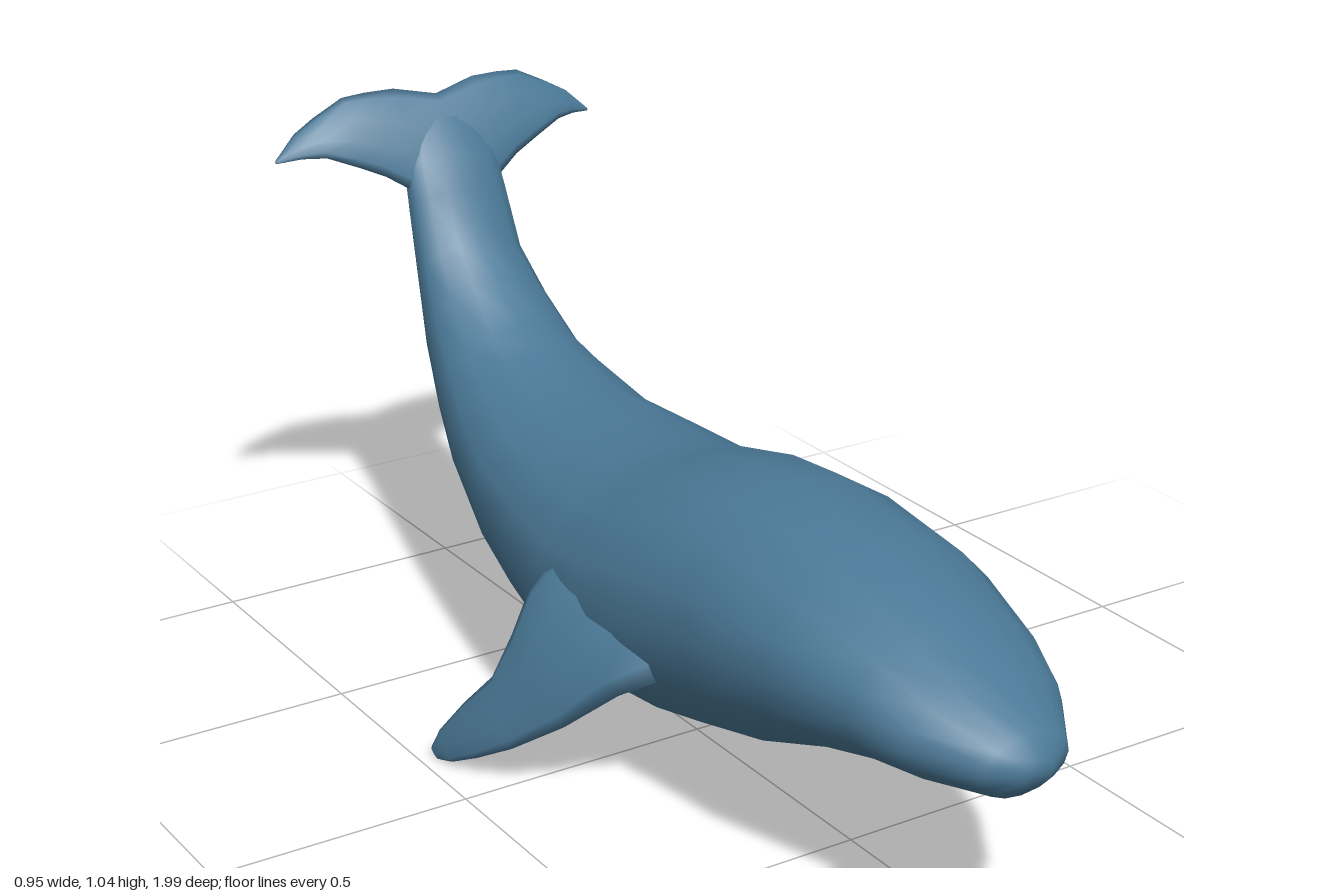
import * as THREE from 'three';

const SIDES = 16;
const V = (x, y, z) => new THREE.Vector3(x, y, z);

// Skins closed rings of points, caps both ends, and turns the faces outward.
function loft(rings) {
  const n = rings[0].length, last = rings.length - 1;
  const pts = rings.flat(), index = [];
  const start = pts.length, end = start + 1;
  for (const ring of [rings[0], rings[last]]) {
    pts.push(ring.reduce((s, p) => s.add(p), V(0, 0, 0)).divideScalar(n));
  }
  for (let j = 0; j < n; j++) {
    const k = (j + 1) % n;
    for (let i = 0; i < last; i++) {
      const a = i * n + j, b = i * n + k, c = a + n, d = b + n;
      index.push(a, b, c, b, d, c);
    }
    index.push(start, k, j, end, last * n + j, last * n + k);
  }
  // negative enclosed volume means the winding is inside out
  const centre = pts[start];
  let volume = 0;
  for (let i = 0; i < index.length; i += 3) {
    const [p, q, r] = [0, 1, 2].map((o) => pts[index[i + o]].clone().sub(centre));
    volume += p.dot(q.cross(r));
  }
  if (volume < 0) index.reverse();
  const geo = new THREE.BufferGeometry().setFromPoints(pts);
  geo.setIndex(index);
  geo.computeVertexNormals();
  return geo;
}

// Oval ring between a top and a bottom point on the centre plane.
function bodyRing([tz, ty, bz, by, halfWidth]) {
  const mid = V(0, (ty + by) / 2, (tz + bz) / 2);
  const up = V(0, (ty - by) / 2, (tz - bz) / 2);
  return Array.from({ length: SIDES }, (_, j) => {
    const a = (j / SIDES) * Math.PI * 2;
    return mid.clone().addScaledVector(up, Math.cos(a)).add(V(halfWidth * Math.sin(a), 0, 0));
  });
}

// Lens-shaped ring between a leading and a trailing edge point.
function finRing(lead, trail, thickness, span) {
  const mid = lead.clone().add(trail).multiplyScalar(0.5);
  const chord = lead.clone().sub(trail).multiplyScalar(0.5);
  const normal = span.clone().cross(chord).normalize();
  return Array.from({ length: 10 }, (_, j) => {
    const a = (j / 10) * Math.PI * 2;
    return mid.clone().addScaledVector(chord, Math.cos(a))
      .addScaledVector(normal, thickness / 2 * Math.sin(a));
  });
}

export function createModel() {
  const model = new THREE.Group();
  model.name = 'whale';
  const skin = new THREE.MeshStandardMaterial({ color: 0x4a7896 });
  skin.name = 'blue grey skin';
  const add = (name, geo) => {
    const mesh = new THREE.Mesh(geo, skin);
    mesh.name = name;
    model.add(mesh);
  };

  // body, snout to tail: top z, top y, bottom z, bottom y, half width
  const stations = [
    [0.995, 0.385, 0.995, 0.335, 0.035],
    [0.97, 0.42, 0.96, 0.305, 0.09],
    [0.86, 0.475, 0.85, 0.293, 0.165],
    [0.75, 0.528, 0.75, 0.283, 0.202],
    [0.56, 0.592, 0.58, 0.235, 0.25],
    [0.33, 0.63, 0.37, 0.152, 0.262],
    [0.15, 0.612, 0.18, 0.108, 0.285],
    [0.02, 0.578, 0.02, 0.1, 0.295],
    [-0.1, 0.548, -0.12, 0.103, 0.292],
    [-0.26, 0.549, -0.28, 0.14, 0.265],
    [-0.435, 0.552, -0.445, 0.18, 0.228],
    [-0.56, 0.59, -0.65, 0.285, 0.188],
    [-0.64, 0.617, -0.75, 0.385, 0.163],
    [-0.73, 0.69, -0.837, 0.5, 0.138],
    [-0.805, 0.757, -0.89, 0.625, 0.118],
    [-0.85, 0.85, -0.935, 0.8, 0.11],
    [-0.885, 0.915, -0.95, 0.88, 0.105],
    [-0.93, 0.98, -0.965, 0.955, 0.08],
  ];
  add('body', loft(stations.map(bodyRing)));

  // tail fluke, half span: x, leading y z, trailing y z, thickness
  const half = [
    [0, 0.84, -0.89, 1.02, -0.97, 0.045],
    [0.09, 0.845, -0.893, 1.04, -0.983, 0.045],
    [0.15, 0.885, -0.91, 1.039, -0.99, 0.04],
    [0.2, 0.908, -0.92, 1.035, -0.993, 0.036],
    [0.265, 0.935, -0.935, 1.003, -0.993, 0.028],
    [0.31, 0.936, -0.953, 0.978, -0.988, 0.02],
    [0.357, 0.929, -0.973, 0.934, -0.978, 0.006],
  ];
  const span = [...half.slice(1).reverse().map(([x, ...r]) => [-x, ...r]), ...half];
  add('tailFluke', loft(span.map(([x, ly, lz, ty, tz, t]) =>
    finRing(V(x, ly, lz), V(x, ty, tz), t, V(1, 0, 0)))));

  // flippers, root to tip: leading x y z, trailing x y z, thickness
  const flipper = [
    [0.21, 0.32, 0.32, 0.22, 0.42, -0.09, 0.09],
    [0.295, 0.24, 0.2, 0.31, 0.345, -0.082, 0.07],
    [0.355, 0.155, 0.11, 0.355, 0.265, -0.073, 0.045],
    [0.41, 0.085, 0.015, 0.397, 0.19, -0.075, 0.036],
    [0.442, 0.042, -0.06, 0.43, 0.125, -0.125, 0.03],
    [0.462, 0.013, -0.12, 0.462, 0.06, -0.165, 0.022],
    [0.469, 0.002, -0.162, 0.473, 0.02, -0.18, 0.008],
  ];
  for (const [name, s] of [['leftFlipper', 1], ['rightFlipper', -1]]) {
    add(name, loft(flipper.map(([lx, ly, lz, tx, ty, tz, t]) =>
      finRing(V(s * lx, ly, lz), V(s * tx, ty, tz), t, V(s * 0.2, -0.35, -0.15)))));
  }
  return model;
}
